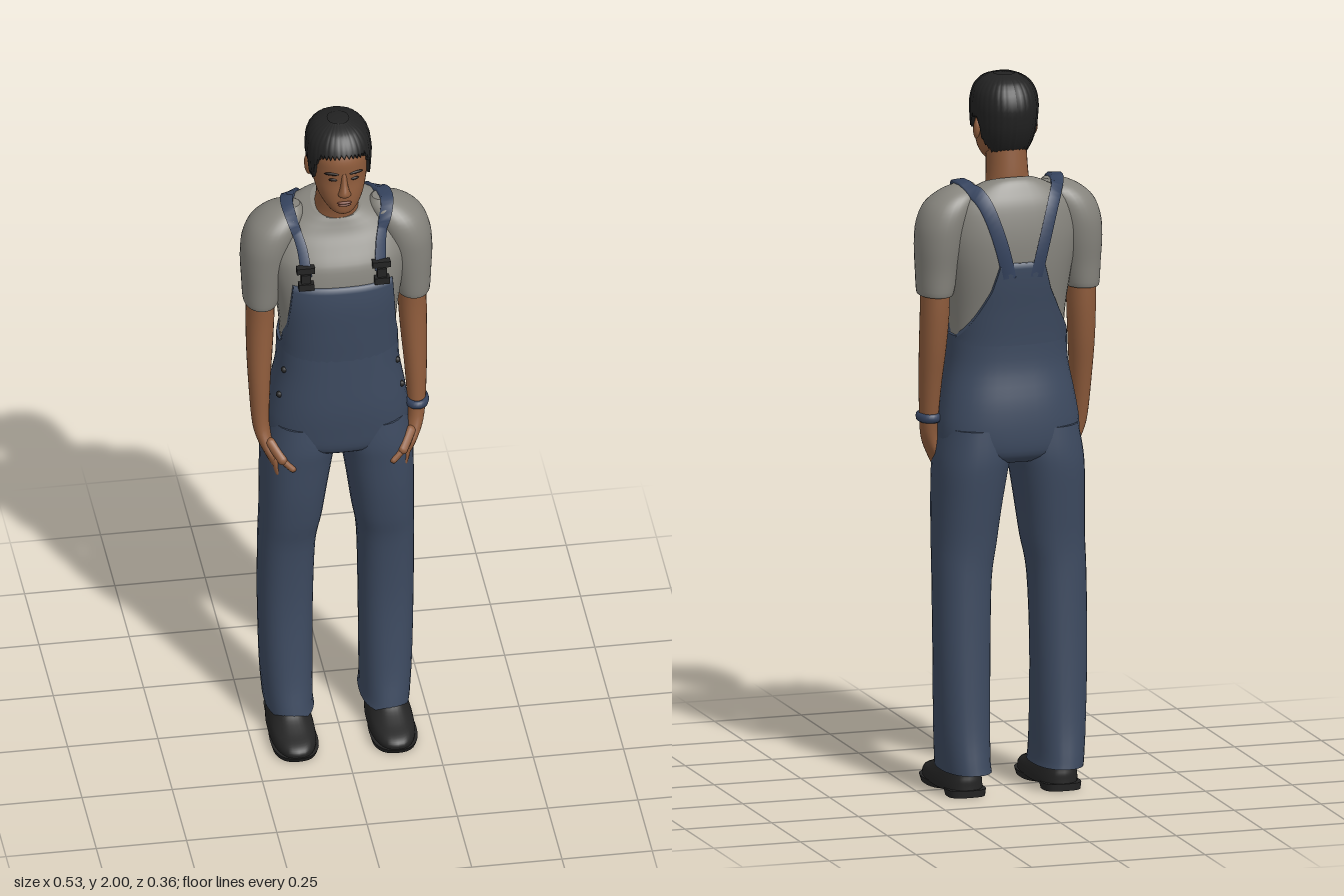
import * as THREE from 'three';

const mat = (name, color, extra = {}) => Object.assign(new THREE.MeshStandardMaterial({ color, ...extra }), { name });
const V = (x, y, z) => new THREE.Vector3(x, y, z);
const catmull = (a, b, c, d, t) => b + 0.5 * t * (c - a + t * (2 * a - 5 * b + 4 * c - d + t * (3 * (b - c) + d - a)));

// A cross-section row is [y, xMin, xMax, zBack, zFront]
function sample(rows, t) {
  const last = rows.length - 1, i = Math.min(Math.floor(t), last - 1);
  const r = k => rows[Math.max(0, Math.min(last, k))];
  return rows[0].map((_, k) => catmull(r(i - 1)[k], r(i)[k], r(i + 1)[k], r(i + 2)[k], t - i));
}
function atY(rows, y) {
  let i = 0;
  while (i < rows.length - 2 && rows[i + 1][0] < y) i++;
  const t = (y - rows[i][0]) / (rows[i + 1][0] - rows[i][0]);
  return sample(rows, i + Math.max(0, Math.min(1, t)));
}
function ringPoint(r, a, n, off = 0) {
  const p = v => Math.sign(v) * Math.abs(v) ** (2 / n);
  return [(r[1] + r[2]) / 2 + ((r[2] - r[1]) / 2 + off) * p(Math.sin(a)), r[0],
    (r[3] + r[4]) / 2 + ((r[4] - r[3]) / 2 + off) * p(Math.cos(a))];
}
function build(pos, idx) {
  const g = new THREE.BufferGeometry();
  g.setAttribute('position', new THREE.Float32BufferAttribute(pos, 3));
  g.setIndex(idx);
  g.computeVertexNormals();
  return g;
}
// Smooth skin over stacked cross-sections, closed with flat caps
function loft(rows, n = 2.2, seg = 32, sub = 4, bend = p => p) {
  const pos = [], idx = [], count = (rows.length - 1) * sub;
  const ring = r => { for (let i = 0; i < seg; i++) pos.push(...bend(ringPoint(r, i / seg * Math.PI * 2, n))); };
  for (let j = 0; j <= count; j++) ring(sample(rows, j / sub));
  for (let j = 0; j < count; j++) for (let i = 0; i < seg; i++) {
    const a = j * seg + i, b = j * seg + (i + 1) % seg;
    idx.push(a, b, b + seg, a, b + seg, a + seg);
  }
  for (const [r, top] of [[rows[0], false], [rows[rows.length - 1], true]]) {
    const s = pos.length / 3;
    ring(r);
    pos.push(...bend([(r[1] + r[2]) / 2, r[0], (r[3] + r[4]) / 2]));
    for (let i = 0; i < seg; i++) {
      const a = s + i, b = s + (i + 1) % seg;
      top ? idx.push(a, b, s + seg) : idx.push(b, a, s + seg);
    }
  }
  return build(pos, idx);
}
function grid(nu, nv, f) {
  const pos = [], idx = [];
  for (let j = 0; j <= nv; j++) for (let i = 0; i <= nu; i++) pos.push(...f(i, j));
  for (let j = 0; j < nv; j++) for (let i = 0; i < nu; i++) {
    const a = j * (nu + 1) + i, c = a + nu + 1;
    idx.push(a, a + 1, c + 1, a, c + 1, c);
  }
  return build(pos, idx);
}
const both = list => list.map(([y, w, b, f]) => [y, -w, w, b, f]);
const flip = (rows, s) => s > 0 ? rows : rows.map(([y, a, b, c, d]) => [y, -b, -a, c, d]);
function linear(points, x) {
  let i = 0;
  while (i < points.length - 2 && points[i + 1][0] < x) i++;
  const [a, b] = [points[i], points[i + 1]];
  return THREE.MathUtils.lerp(a[1], b[1], THREE.MathUtils.clamp((x - a[0]) / (b[0] - a[0]), 0, 1));
}

const TORSO = both([[1.15, .16, -.145, .09], [1.25, .157, -.142, .094], [1.35, .162, -.152, .102], [1.45, .176, -.166, .107],
  [1.52, .188, -.17, .1], [1.58, .192, -.167, .085], [1.64, .18, -.155, .06], [1.68, .148, -.138, .04],
  [1.71, .105, -.122, .028], [1.725, .07, -.107, .02]]);
const PELVIS = both([[.935, .12, -.14, .06], [.96, .185, -.168, .088], [1.02, .198, -.175, .098], [1.1, .188, -.17, .105],
  [1.2, .17, -.152, .105], [1.285, .166, -.152, .104]]);
const LEG = [[.07, .064, .2, -.176, .074], [.1, .067, .203, -.172, .068], [.2, .066, .21, -.16, .05], [.4, .064, .215, -.15, .034],
  [.6, .058, .215, -.145, .045], [.7, .042, .213, -.147, .065], [.8, .028, .212, -.157, .08], [.9, .012, .21, -.168, .088],
  [.96, .002, .204, -.17, .091], [1.03, .01, .19, -.165, .085]];
const SLEEVE = [[1.44, .17, .25, -.1, .02], [1.41, .17, .25, -.1, .02], [1.405, .162, .258, -.11, .03], [1.47, .15, .262, -.117, .037],
  [1.54, .135, .265, -.128, .043], [1.6, .12, .26, -.132, .045], [1.65, .1, .24, -.125, .035],
  [1.685, .09, .2, -.105, .01], [1.705, .1, .155, -.07, -.02]];
const ARM = [[.905, .168, .195, -.02, .055], [.94, .174, .212, -.028, .06], [.98, .186, .23, -.03, .045], [1.03, .192, .24, -.037, .03],
  [1.15, .186, .247, -.06, .022], [1.25, .178, .25, -.08, .015], [1.35, .172, .25, -.092, .01], [1.44, .172, .248, -.095, .012]];
const HEAD = both([[1.745, .022, .02, .088], [1.758, .04, -.02, .103], [1.785, .06, -.07, .106], [1.815, .07, -.09, .105],
  [1.85, .077, -.105, .101], [1.885, .08, -.112, .102], [1.92, .081, -.114, .1], [1.955, .074, -.1, .083],
  [1.98, .052, -.073, .055], [1.992, .02, -.03, .015]]);
const SHOE = [[.015, .074, .2, -.125, .18], [.03, .074, .2, -.125, .182], [.045, .077, .197, -.125, .165], [.06, .082, .192, -.122, .12],
  [.08, .09, .185, -.12, .075], [.11, .095, .18, -.115, .04]];

export function createModel() {
  const M = {
    skin: mat('skin', 0x8f5c3c), hair: mat('hair', 0x222222, { side: THREE.DoubleSide }), shirt: mat('shirt grey', 0x86847d),
    denim: mat('overall blue', 0x3d4a60), strap: mat('strap blue', 0x35435e, { side: THREE.DoubleSide }),
    black: mat('shoe black', 0x242424), lips: mat('lips', 0x754334), eye: mat('eye dark', 0x1e1613)
  };
  const model = new THREE.Group();
  model.name = 'workerInOveralls';
  const add = (name, geo, m, p = [0, 0, 0]) => {
    const mesh = new THREE.Mesh(geo, m);
    mesh.name = name;
    mesh.position.set(...p);
    model.add(mesh);
    return mesh;
  };
  const limb = (name, a, b, r, m) => {
    const d = b.clone().sub(a);
    const mesh = add(name, new THREE.CapsuleGeometry(r, d.length(), 4, 10), m, a.clone().add(b).multiplyScalar(.5).toArray());
    mesh.quaternion.setFromUnitVectors(V(0, 1, 0), d.normalize());
  };

  // Shirt, with the neckline dropping towards the front
  const neckline = ([x, y, z]) => [x, y - Math.max(0, Math.min(1, (y - 1.56) / .15)) * (z + .1) * .33, z];
  const shirt = [add('shirtBody', loft(TORSO, 2.4, 40, 4, neckline), M.shirt)];
  for (const s of [1, -1]) shirt.push(add('sleeve', loft(flip(SLEEVE, s), 2.1), M.shirt));

  // Overalls: hips, front bib, tapering back panel
  add('hips', loft(PELVIS, 2.4, 40), M.denim);
  const panel = (name, s, top, widths) => add(name, grid(24, 16, (i, j) => {
    const y = THREE.MathUtils.lerp(1.265, top, Math.min(j, 15) / 15), r = atY(TORSO, y);
    const edge = i === 0 || i === 24 || j === 16, off = edge ? -.003 : .009;
    const u = (Math.max(1, Math.min(23, i)) - 12) / 11;
    const w = r[2] + off, x = Math.min(linear(widths, y), w) * Math.sin(u * Math.PI / 2);
    const z = (r[3] + r[4]) / 2 + s * ((r[4] - r[3]) / 2 + off) * Math.max(0, 1 - Math.abs(x / w) ** 2.4) ** (1 / 2.4);
    return [s * x, y, z];
  }), M.denim);
  panel('frontBib', 1, 1.51, [[1.265, .17], [1.29, .163], [1.36, .15], [1.51, .138]]);
  panel('backPanel', -1, 1.5, [[1.265, .17], [1.29, .155], [1.35, .12], [1.42, .085], [1.5, .062]]);

  // Shoulder straps laid onto the shirt
  const ray = new THREE.Raycaster();
  const onShirt = (p, s, lift) => {
    const c = V(s * .08, 1.5, -.04), d = p.clone().sub(c).normalize();
    ray.set(c.clone().addScaledVector(d, 1), d.clone().negate());
    const hit = ray.intersectObjects(shirt, false)[0];
    return (hit ? hit.point : p).clone().addScaledVector(d, lift);
  };
  for (const s of [1, -1]) {
    const path = new THREE.CatmullRomCurve3([[.104, 1.55, .1], [.113, 1.63, .07], [.13, 1.69, .03], [.137, 1.71, -.03],
      [.125, 1.7, -.09], [.095, 1.65, -.145], [.062, 1.55, -.17], [.04, 1.46, -.17]].map(([x, y, z]) => V(s * x, y, z)));
    add('strap', grid(3, 40, (i, j) => {
      const p = path.getPoint(j / 40), out = p.clone().sub(V(s * .08, 1.5, -.04));
      const side = path.getTangent(j / 40).cross(out).normalize();
      return onShirt(p.addScaledVector(side, i < 2 ? -.016 : .016), s, i % 3 ? .011 : -.003).toArray();
    }), M.strap);
    // Buckle
    const b = onShirt(V(s * .105, 1.545, .1), s, .006);
    for (const [w, h, dy] of [[.05, .018, .024], [.026, .03, 0], [.042, .02, -.022]])
      add('buckle', new THREE.BoxGeometry(w, h, .02), M.black, [s * .105, 1.545 + dy, b.z + .004 - dy * .25]);
    // Side buttons
    for (const y of [1.13, 1.21]) {
      const q = ringPoint(atY(PELVIS, y), s * 1.15, 2.4);
      add('sideButton', new THREE.SphereGeometry(.009, 10, 8), M.black, q);
    }

    // Trouser leg and shoe
    add('trouserLeg', loft(flip(LEG, s), 2.3), M.denim);
    add('shoe', loft(flip(SHOE, s), 2.5), M.black);
    add('frontSole', loft(flip([[0, .076, .198, .0, .172], [.018, .071, .203, -.02, .184]], s), 2.5, 32, 1), M.black);
    add('heel', loft(flip([[0, .085, .19, -.128, -.04], [.02, .082, .193, -.13, -.03]], s), 3, 32, 1), M.black);

    // Arm, palm, fingers and thumb
    add('arm', loft(flip(ARM, s), 2.1, 24), M.skin);
    [.862, .85, .846, .856].forEach((tip, k) => {
      const z = -.01 + k * .02;
      limb('finger', V(s * .183, .925, z), V(s * .173, .885, z + .003), .0112, M.skin);
      limb('finger', V(s * .173, .885, z + .003), V(s * .157, tip, z + .002), .0098, M.skin);
    });
    limb('thumb', V(s * .194, .975, .04), V(s * .167, .938, .075), .014, M.skin);
    limb('thumb', V(s * .167, .938, .075), V(s * .14, .912, .083), .0105, M.skin);

    // Ear, eye and brow
    const ear = add('ear', new THREE.SphereGeometry(1, 14, 10), M.skin, [s * .081, 1.85, -.015]);
    ear.scale.set(.01, .03, .018);
    ear.rotation.set(-.15, s * -.3, 0);
    for (const [name, y, a, sx, sy] of [['eye', 1.865, .36, .012, .0045], ['brow', 1.884, .4, .021, .0045]]) {
      const e = add(name, new THREE.SphereGeometry(1, 12, 8), M.eye, ringPoint(atY(HEAD, y), s * a, 2.2));
      e.scale.set(sx, sy, .004);
      e.rotation.y = s * .3;
    }
  }

  // Wristband on the left arm
  const band = add('wristband', new THREE.TorusGeometry(.031, .008, 8, 28), M.strap, [.216, 1.05, -.005]);
  band.rotation.x = Math.PI / 2;
  band.scale.set(.9, 1.2, 1.6);

  // Neck, head, nose and mouth
  add('neck', loft(both([[1.65, .068, -.1, .015], [1.7, .06, -.098, .022], [1.74, .056, -.096, .032], [1.8, .054, -.09, .04]])), M.skin);
  add('head', loft(HEAD, 2.2, 36), M.skin);
  add('nose', loft(both([[1.812, .012, .085, .112], [1.82, .018, .085, .123], [1.832, .014, .085, .125], [1.855, .009, .085, .114],
    [1.885, .007, .085, .103]]), 2, 16, 3), M.skin);
  for (const [y, w] of [[1.793, .021], [1.786, .018]])
    add('lip', new THREE.SphereGeometry(1, 14, 8), M.lips, [0, y, .105]).scale.set(w, .0045, .006);

  // Hair cap with a ragged hairline, sideburns and nape
  const hairline = [[0, 1.937], [.75, 1.93], [.95, 1.9], [1.12, 1.85], [1.38, 1.848], [1.5, 1.885], [1.8, 1.885], [2.0, 1.82], [2.4, 1.79], [3.15, 1.785]];
  add('hair', grid(96, 18, (i, j) => {
    const a = (i / 96 - .5) * Math.PI * 2;
    const low = linear(hairline, Math.abs(a)) + (i % 2 ? .005 : -.004);
    const y = THREE.MathUtils.lerp(low, 1.992, Math.sin(Math.max(0, j - 1) / 17 * Math.PI / 2));
    const off = j === 0 ? -.004 : .008 + (i % 3 ? 0 : .0015);
    const p = ringPoint(atY(HEAD, y), a, 2.2, off);
    p[1] += .008 * Math.max(0, (y - 1.93) / .062);
    return p;
  }), M.hair);
  add('hairCrown', new THREE.SphereGeometry(1, 24, 12), M.hair, [0, 1.985, -.008]).scale.set(.045, .015, .055);

  return model;
}
